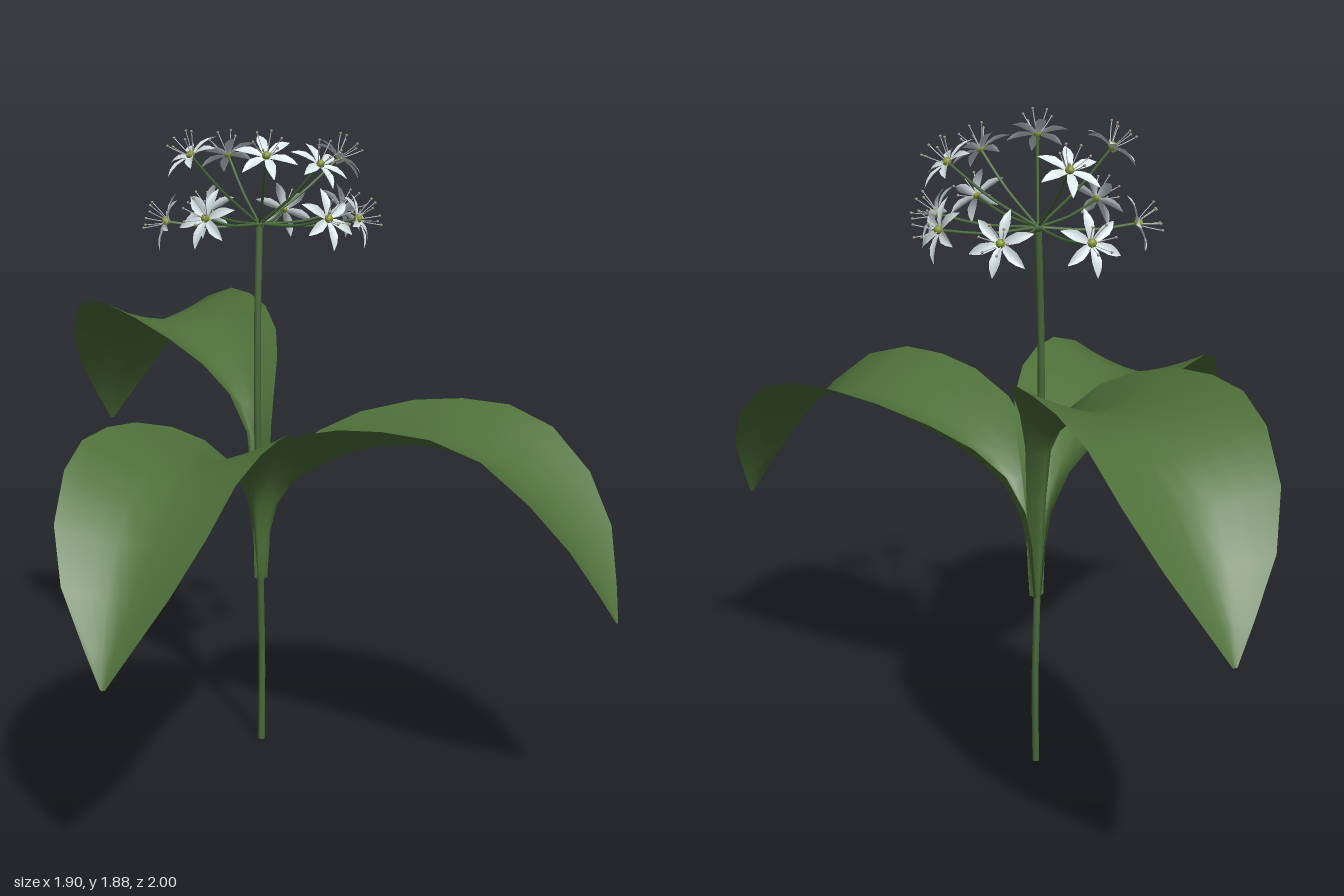
import * as THREE from 'three';

const V = (x, y, z) => new THREE.Vector3(x, y, z);
const mat = (name, color, side = THREE.FrontSide) => {
  const m = new THREE.MeshStandardMaterial({ color, side });
  m.name = name;
  return m;
};

// Folded blade growing along +x; each station is [reach, height, halfWidth, edgeLift]
function bladeGeometry(stations, cols) {
  const pos = [], idx = [];
  stations.forEach(([r, y, w, lift], i) => {
    const a = stations[Math.max(i - 1, 0)], b = stations[Math.min(i + 1, stations.length - 1)];
    const t = new THREE.Vector2(b[0] - a[0], b[1] - a[1]).normalize();
    for (let j = 0; j <= cols; j++) {
      const s = (j / cols) * 2 - 1, h = lift * Math.abs(s) ** 1.5;
      pos.push(r - t.y * h, y + t.x * h, s * w);
    }
  });
  const n = cols + 1;
  for (let i = 0; i < stations.length - 1; i++) {
    for (let j = 0; j < cols; j++) {
      const k = i * n + j;
      idx.push(k, k + 1, k + n, k + 1, k + n + 1, k + n);
    }
  }
  const g = new THREE.BufferGeometry();
  g.setAttribute('position', new THREE.Float32BufferAttribute(pos, 3));
  g.setIndex(idx);
  g.computeVertexNormals();
  return g;
}

const tube = (points, radius, segments, sides) =>
  new THREE.TubeGeometry(new THREE.CatmullRomCurve3(points), segments, radius, sides);

export function createModel() {
  const model = new THREE.Group();
  model.name = 'floweringPlant';
  const leafGreen = mat('leafGreen', 0x4f713a, THREE.DoubleSide);
  const stemGreen = mat('stemGreen', 0x49693a);
  const petalWhite = mat('petalWhite', 0xdce8ea, THREE.DoubleSide);
  const filamentGrey = mat('filamentWhite', 0xc9d2d8);
  const antherTan = mat('antherTan', 0xa09a84);
  const centreGreen = mat('centreGreen', 0x8b9a2c);
  const add = (parent, geometry, material, name) => {
    const m = new THREE.Mesh(geometry, material);
    m.name = name;
    parent.add(m);
    return m;
  };

  // Gently bowed stem
  add(model, tube([V(-0.15, 0, -0.145), V(-0.15, 0.25, -0.155), V(-0.15, 0.5, -0.143),
    V(-0.148, 0.75, -0.122), V(-0.147, 1.05, -0.107), V(-0.148, 1.3, -0.117),
    V(-0.15, 1.6, -0.15)], 0.0105, 28, 8), stemGreen, 'stem');
  const foot = add(model, new THREE.CircleGeometry(0.0105, 8), stemGreen, 'stemFoot');
  foot.rotation.x = Math.PI / 2;
  foot.position.set(-0.15, 0.001, -0.145);

  // Three arching leaves, sheathed round the stem at the base
  const arch = [
    [0.06, 0.76, 0.04, 0.055], [0.11, 0.835, 0.075, 0.08], [0.18, 0.885, 0.125, 0.1],
    [0.28, 0.94, 0.18, 0.1], [0.42, 0.99, 0.225, 0.09], [0.55, 1.01, 0.245, 0.085],
    [0.68, 1.01, 0.25, 0.083], [0.8, 0.98, 0.235, 0.075], [0.92, 0.895, 0.205, 0.062],
    [1.02, 0.785, 0.145, 0.045], [1.1, 0.67, 0.06, 0.012], [1.14, 0.59, 0.006, 0],
  ];
  const sheath = [[0.014, 0.52, 0.017, 0.025], [0.026, 0.6, 0.024, 0.035], [0.036, 0.68, 0.03, 0.042]];
  const leaves = [
    { name: 'frontLeaf', dir: [-0.09, 1.14], rise: 0 },
    { name: 'leftLeaf', dir: [1.09, 0.34], rise: 0 },
    { name: 'backLeaf', dir: [-0.76, -0.82], rise: 0.2 },
  ];
  for (const { name, dir, rise } of leaves) {
    const low = sheath.map(([r, y, w, l]) => [r, 0.52 + (y - 0.52) * (1 + rise * 4), w, l]);
    const high = arch.map(([r, y, w, l]) => [r * (rise ? 0.985 : 1), y + rise, w, l]);
    const leaf = add(model, bladeGeometry([...low, ...high], 8), leafGreen, name);
    leaf.rotation.y = Math.atan2(-dir[1], dir[0]);
    leaf.position.set(-0.15, 0, -0.145);
  }

  // Shared flower pieces
  const petal = bladeGeometry([[0.004, 0, 0.004, 0], [0.025, 0.007, 0.011, 0.003],
    [0.05, 0.009, 0.0145, 0.004], [0.07, 0.006, 0.01, 0.003], [0.09, 0, 0.001, 0]], 4);
  const filament = tube([V(0.005, 0.005, 0), V(0.022, 0.03, 0), V(0.04, 0.062, 0)], 0.0014, 4, 4);
  const anther = new THREE.SphereGeometry(0.0042, 6, 4);
  const ovary = new THREE.SphereGeometry(0.0125, 8, 6);

  function createFlower() {
    const flower = new THREE.Group();
    flower.name = 'flower';
    add(flower, ovary, centreGreen, 'flowerCentre').position.y = 0.007;
    for (let i = 0; i < 6; i++) {
      const a = (i / 6) * Math.PI * 2;
      add(flower, petal, petalWhite, 'petal').rotation.y = a;
      const stamen = new THREE.Group();
      stamen.name = 'stamen';
      stamen.rotation.y = a + Math.PI / 6;
      add(stamen, filament, filamentGrey, 'filament');
      add(stamen, anther, antherTan, 'anther').position.set(0.04, 0.062, 0);
      flower.add(stamen);
    }
    return flower;
  }

  // Umbel: an upper and a lower tier of flowers on thin curved stalks
  const hub = V(-0.15, 1.59, -0.15);
  const heads = [
    [-0.07, 1.80, 0.07], [0.05, 1.77, -0.285], [0.05, 1.77, -0.05], [-0.285, 1.77, -0.30],
    [-0.31, 1.79, -0.02], [-0.15, 1.60, -0.43], [0.04, 1.61, -0.37], [0.13, 1.61, -0.17],
    [0.09, 1.63, 0.02], [-0.235, 1.63, 0.09], [-0.395, 1.60, -0.06], [-0.36, 1.60, -0.345],
  ];
  heads.forEach((p, i) => {
    const head = V(...p);
    const facing = head.clone().sub(hub).normalize().add(V(0, 0.3, 0)).normalize();
    const mid = hub.clone().lerp(head, 0.55).add(V(0, -0.012, 0));
    add(model, tube([hub, mid, head], 0.0042, 8, 5), stemGreen, 'flowerStalk');
    const flower = createFlower();
    flower.position.copy(head);
    flower.quaternion.setFromUnitVectors(V(0, 1, 0), facing);
    flower.rotateY(i * 0.7);
    model.add(flower);
  });
  add(model, new THREE.SphereGeometry(0.014, 8, 6), stemGreen, 'umbelHub').position.copy(hub);

  return model;
}
